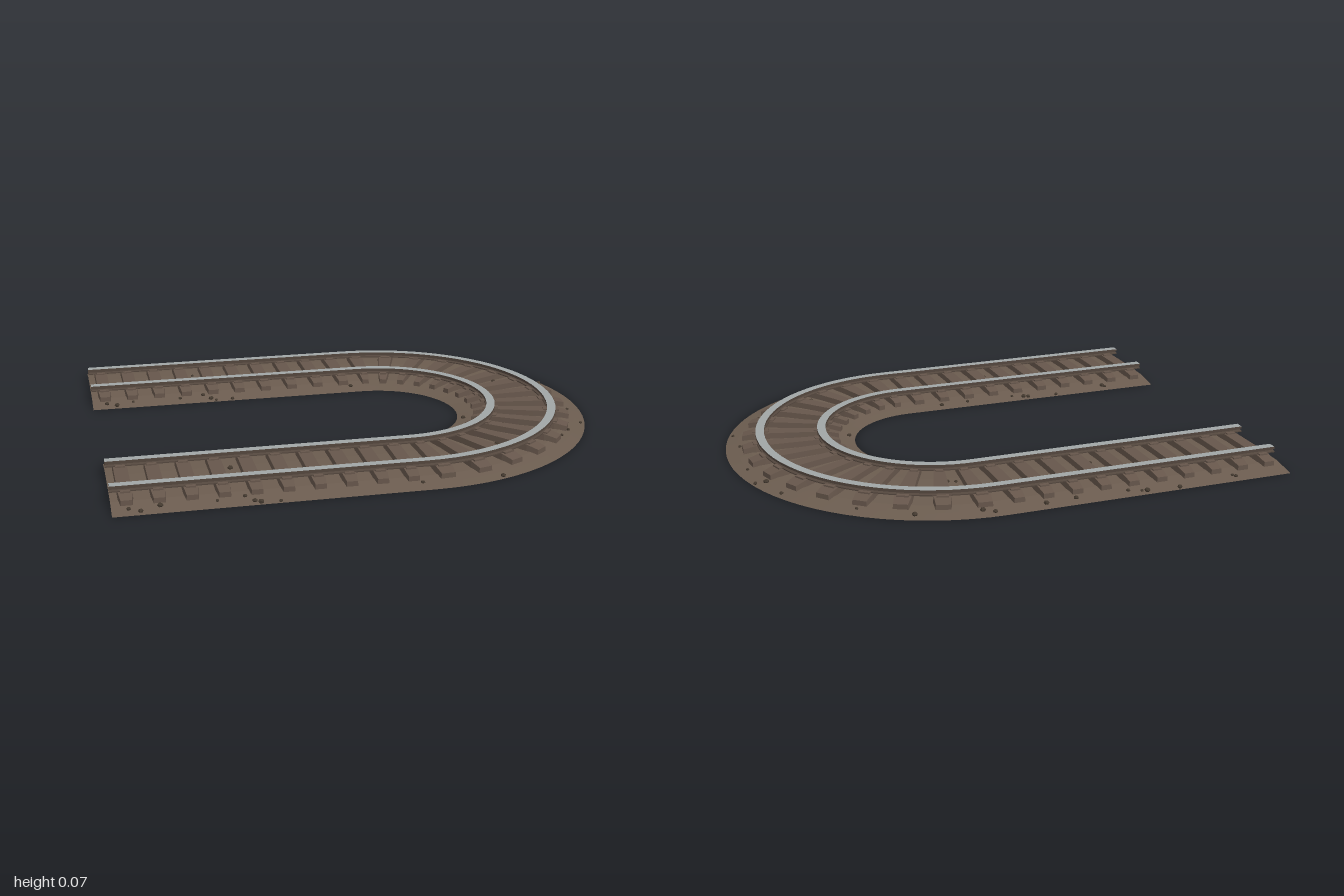
import * as THREE from 'three';
import { mergeGeometries } from 'three/addons/utils/BufferGeometryUtils.js';

const R = 0.58, CX = 0.16, STRAIGHT = 1.16;
const ARC = Math.PI * R, LENGTH = 2 * STRAIGHT + ARC;

// Point on the U-shaped path: s along the track, d sideways (outward), y up
function place(d, y, s) {
  const r = R + d;
  if (s <= STRAIGHT) return [-1 + s, y, -r];
  if (s >= STRAIGHT + ARC) return [CX - (s - STRAIGHT - ARC), y, r];
  const a = (s - STRAIGHT) / R;
  return [CX + r * Math.sin(a), y, -r * Math.cos(a)];
}

// Bend a geometry laid out as (d, y, s) onto the path, faceted
function bend(geo, s0) {
  const g = geo.index ? geo.toNonIndexed() : geo.clone();
  const p = g.attributes.position;
  for (let i = 0; i < p.count; i++) p.setXYZ(i, ...place(p.getX(i), p.getY(i), p.getZ(i) + s0));
  g.computeVertexNormals();
  return g;
}

// Sweep a profile of [d, y] points along the path, creased at each profile point
const stations = [0];
for (let i = 0; i <= 40; i++) stations.push(STRAIGHT + (ARC * i) / 40);
stations.push(LENGTH);
function sweep(profile) {
  const pos = [], index = [];
  for (let k = 0; k + 1 < profile.length; k++) {
    const base = pos.length / 3;
    stations.forEach((s, i) => {
      pos.push(...place(...profile[k], s), ...place(...profile[k + 1], s));
      if (i === 0) return;
      const a = base + 2 * (i - 1);
      index.push(a, a + 2, a + 3, a, a + 3, a + 1);
    });
  }
  const g = new THREE.BufferGeometry();
  g.setAttribute('position', new THREE.Float32BufferAttribute(pos, 3));
  g.setIndex(index);
  g.computeVertexNormals();
  return g;
}

// Gravel bed cross-section, also used to seat the pebbles
const bedHalf = [[0.26, 0], [0.215, 0.009], [0.165, 0.018], [0.08, 0.021]];
const bed = [...bedHalf.map(([d, y]) => [-d, y]), ...[...bedHalf].reverse()];
function bedHeight(d) {
  for (let k = 0; k + 1 < bed.length; k++) {
    const [a, ya] = bed[k], [b, yb] = bed[k + 1];
    if (d >= a && d <= b) return ya + ((yb - ya) * (d - a)) / (b - a);
  }
  return 0;
}

export function createModel() {
  const group = new THREE.Group();
  const mat = (name, color, side = THREE.FrontSide) => {
    const m = new THREE.MeshStandardMaterial({ color, side });
    m.name = name;
    return m;
  };
  const gravel = mat('gravel brown', 0x6b5c4f, THREE.DoubleSide);
  const wood = mat('sleeper brown', 0x66564b);
  const rust = mat('rusty rail', 0x53463d, THREE.DoubleSide);
  const steel = mat('polished steel', 0xa0a6a6, THREE.DoubleSide);
  const stone = mat('dark stone', 0x43392f);
  const add = (name, geo, material) => {
    const m = new THREE.Mesh(geo, material);
    m.name = name;
    group.add(m);
  };

  add('gravelBed', sweep(bed), gravel);

  // Rails: foot, web and head, with a bright running surface
  const half = [[0.018, 0.043], [0.018, 0.047], [0.007, 0.05], [0.007, 0.055], [0.017, 0.057], [0.017, 0.066]];
  for (const [name, d0] of [['outerRail', 0.122], ['innerRail', -0.125]]) {
    const left = half.map(([d, y]) => [d0 - d, y]);
    const right = half.map(([d, y]) => [d0 + d, y]).reverse();
    const outline = [...left, ...right];
    add(name + 'Top', sweep([left[5], right[0]]), steel);
    const cap = new THREE.ShapeGeometry(new THREE.Shape(outline.map(([d, y]) => new THREE.Vector2(d, y))));
    add(name + 'Body', mergeGeometries([sweep(left), sweep([...right, left[0]])].map((g) => g.toNonIndexed())), rust);
    const caps = [0, LENGTH].map((s) => bend(cap, s));
    add(name + 'Ends', mergeGeometries(caps), rust);
  }

  // Sleepers: chamfered beams whose ends narrow and dip outside the rails
  const beam = new THREE.BoxGeometry(0.39, 0.034, 0.056, 8, 1, 1);
  const bp = beam.attributes.position;
  for (let i = 0; i < bp.count; i++) {
    const end = Math.abs(bp.getX(i)) > 0.18, top = bp.getY(i) > 0;
    bp.setZ(i, bp.getZ(i) * (end ? 0.78 : 1) * (top ? 0.92 : 1));
    bp.setY(i, top ? (end ? 0.032 : 0.044) : 0.01);
  }
  // Rail clips either side of each rail
  const clips = [0.122, -0.125].flatMap((d) => [-1, 1].map((k) =>
    new THREE.BoxGeometry(0.016, 0.006, 0.036).translate(d + k * 0.024, 0.046, 0)));
  const sleepers = [], clipParts = [];
  for (let i = 0; i < 36; i++) {
    const s = 0.055 + (i * (LENGTH - 0.11)) / 35;
    sleepers.push(bend(beam, s));
    clips.forEach((c) => clipParts.push(bend(c, s)));
  }
  add('sleepers', mergeGeometries(sleepers), wood);
  add('railClips', mergeGeometries(clipParts), wood);

  // Loose pebbles: [x, z] on the back straight, repeated on the front one
  const straight = [[-0.77, -0.8], [-0.78, -0.81], [-0.53, -0.83], [-0.4, -0.82], [-0.38, -0.815], [-0.33, -0.8],
    [-0.12, -0.8], [0, -0.805], [-0.545, -0.635], [-0.3, -0.53], [-0.94, -0.36], [-0.9, -0.34], [-0.83, -0.365],
    [-0.63, -0.365], [-0.53, -0.38], [-0.5, -0.345], [-0.48, -0.33], [-0.41, -0.33], [0.12, -0.37]];
  const curve = [[0.2, -0.81], [0.24, -0.79], [0.25, -0.53], [0.28, -0.52], [0.36, -0.72], [0.48, -0.74], [0.66, -0.62],
    [0.88, -0.38], [0.74, -0.26], [0.91, -0.26], [0.95, -0.11], [0.95, -0.25], [0.48, 0.13], [0.52, 0.2], [0.93, 0.29],
    [0.6, 0.28], [0.53, 0.57], [0.63, 0.45], [0.79, 0.44], [0.84, 0.38], [0.43, 0.78], [0.5, 0.5], [0.93, 0.14]];
  const spots = [...straight, ...straight.map(([x, z]) => [x, z + 2 * R]), ...curve];
  const pebbles = spots.map(([x, z], i) => {
    const d = (x > CX ? Math.hypot(x - CX, z) : Math.abs(z)) - R;
    const size = 0.007 + 0.0015 * (i % 4);
    return new THREE.IcosahedronGeometry(size, 0).rotateY(i * 1.7).scale(1, 0.8, 1)
      .translate(x, Math.max(bedHeight(d) + size * 0.3, size * 0.8), z);
  });
  add('pebbles', mergeGeometries(pebbles), stone);

  return group;
}
